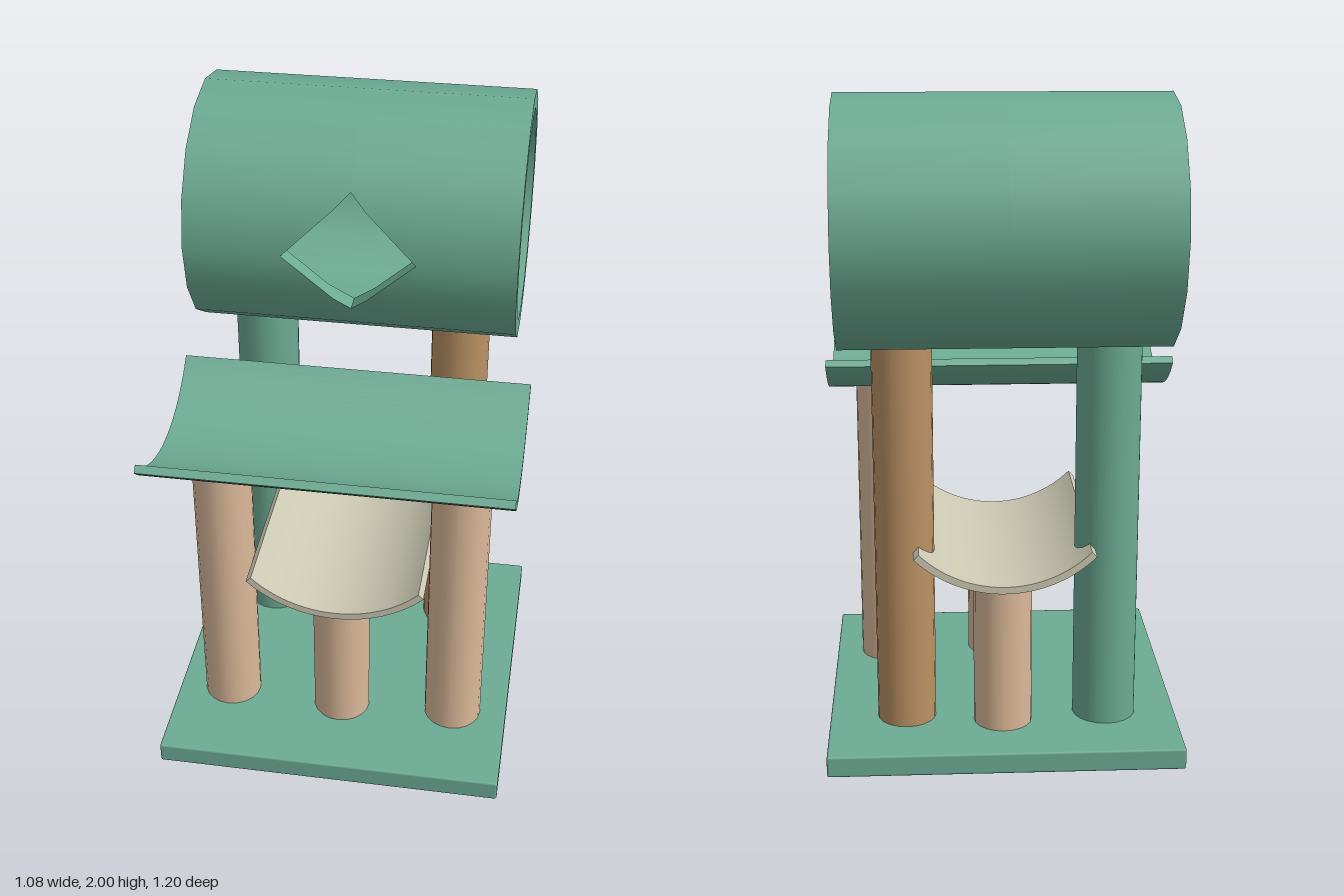
import * as THREE from 'three';
import { toCreasedNormals } from 'three/addons/utils/BufferGeometryUtils.js';
import { RoundedBoxGeometry } from 'three/addons/geometries/RoundedBoxGeometry.js';

const mat = (name, color) => {
  const m = new THREE.MeshStandardMaterial({ color });
  m.name = name;
  return m;
};

// Sixteen-sided hollow tube along x with a diamond opening through its +z wall
function tunnelGeometry(half, rOut, rIn, holeX, holeY) {
  const step = Math.PI / 8;
  // point on the polygon at a given height, near +z
  const atHeight = (r, y) => {
    const a = Math.abs(y), k = a <= r * Math.sin(step) ? 0 : 1;
    const y0 = r * Math.sin(k * step), y1 = r * Math.sin((k + 1) * step);
    const z0 = r * Math.cos(k * step), z1 = r * Math.cos((k + 1) * step);
    return [y, z0 + (z1 - z0) * (a - y0) / (y1 - y0)];
  };
  const heights = [0, rIn * Math.sin(step), rOut * Math.sin(step), holeY];
  const frontRow = (y) => ({
    o: atHeight(rOut, y), i: atHeight(rIn, y), w: holeX * (1 - Math.abs(y) / holeY),
  });
  const rows = heights.map(frontRow);
  for (let k = 2; k <= 14; k++) {
    const s = Math.sin(k * step), c = Math.cos(k * step);
    rows.push({ o: [rOut * s, rOut * c], i: [rIn * s, rIn * c], w: 0 });
  }
  for (const y of [...heights].reverse()) rows.push(frontRow(-y));

  const pos = [], nor = [];
  // radial: 1 outward, -1 inward, 0 flat along x with the given sign
  const quad = (pts, radial, nx = 0) => {
    for (const j of [0, 1, 2, 0, 2, 3]) {
      const p = pts[j];
      pos.push(...p);
      const l = Math.hypot(p[1], p[2]);
      if (radial) nor.push(0, radial * p[1] / l, radial * p[2] / l);
      else nor.push(...nx);
    }
  };
  // flat face with its own normal
  const flat = (pts) => {
    const v = pts.map((p) => new THREE.Vector3(...p));
    const n = v[2].clone().sub(v[0]).cross(v[3].clone().sub(v[1])).normalize();
    quad(pts, 0, n.toArray());
  };
  for (let k = 0; k < rows.length - 1; k++) {
    const a = rows[k], b = rows[k + 1];
    const open = a.w > 1e-6 || b.w > 1e-6;
    for (const s of [-1, 1]) {
      // left or right section of the wall, from x0 to x1 on each row
      const [a0, a1] = s < 0 ? [-half, -a.w] : [a.w, half];
      const [b0, b1] = s < 0 ? [-half, -b.w] : [b.w, half];
      quad([[a0, ...a.o], [a1, ...a.o], [b1, ...b.o], [b0, ...b.o]], 1);
      quad([[a0, ...a.i], [b0, ...b.i], [b1, ...b.i], [a1, ...a.i]], -1);
      if (s > 0 || open) flat([[a1, ...a.o], [a1, ...a.i], [b1, ...b.i], [b1, ...b.o]]);
      if (s < 0 || open) flat([[a0, ...a.o], [b0, ...b.o], [b0, ...b.i], [a0, ...a.i]]);
    }
  }
  const g = new THREE.BufferGeometry();
  g.setAttribute('position', new THREE.Float32BufferAttribute(pos, 3));
  g.setAttribute('normal', new THREE.Float32BufferAttribute(nor, 3));
  return g;
}

// Quarter-circle trough, open upward, running along z and centred on it
function troughGeometry(rOut, thick, length) {
  const shape = new THREE.Shape();
  shape.absarc(0, 0, rOut, -Math.PI * 0.75, -Math.PI * 0.25, false);
  shape.absarc(0, 0, rOut - thick, -Math.PI * 0.25, -Math.PI * 0.75, true);
  const g = new THREE.ExtrudeGeometry(shape, { depth: length, bevelEnabled: false, curveSegments: 16 });
  g.translate(0, 0, -length / 2);
  return toCreasedNormals(g, 0.6);
}

export function createModel() {
  const model = new THREE.Group();
  model.name = 'catTree';
  const green = mat('green plush', 0x6cab94);
  const tan = mat('light rope', 0xdbb99a);
  const brown = mat('brown rope', 0xba9264);
  const cream = mat('cream fabric', 0xcbc8b2);

  const add = (name, geometry, material, x, y, z) => {
    const m = new THREE.Mesh(geometry, material);
    m.name = name;
    m.position.set(x, y, z);
    model.add(m);
    return m;
  };
  const baseTop = 0.067;
  const post = (name, material, x, z, r, top) => add(name,
    new THREE.CylinderGeometry(r, r, top - 0.05, 20), material, x, (top + 0.05) / 2, z);

  // Base board
  add('base', new RoundedBoxGeometry(1.084, baseTop, 1.09, 2, 0.007), green, 0, baseTop / 2, 0.047);

  // Posts
  post('rightFrontPost', tan, -0.367, 0.28, 0.091, 1.033);
  post('leftFrontPost', tan, 0.367, 0.28, 0.091, 1.033);
  post('rightBackPost', green, -0.318, -0.218, 0.098, 1.295);
  post('leftBackPost', brown, 0.302, -0.218, 0.091, 1.295);
  post('lowFrontPost', tan, 0.003, 0.3, 0.09, 0.541);
  post('lowBackPost', tan, 0.003, -0.262, 0.09, 0.541);

  // Hammocks
  add('lowHammock', troughGeometry(0.389, 0.022, 0.787), cream, 0, 0.916, 0.026);
  add('upperHammock', troughGeometry(0.445, 0.025, 1.078), green, 0, 1.465, 0.285)
    .rotation.y = Math.PI / 2;

  // Tunnel with diamond opening
  add('tunnel', tunnelGeometry(0.485, 0.371, 0.318, 0.196, 0.188), green, 0, 1.629, -0.228);

  return model;
}
